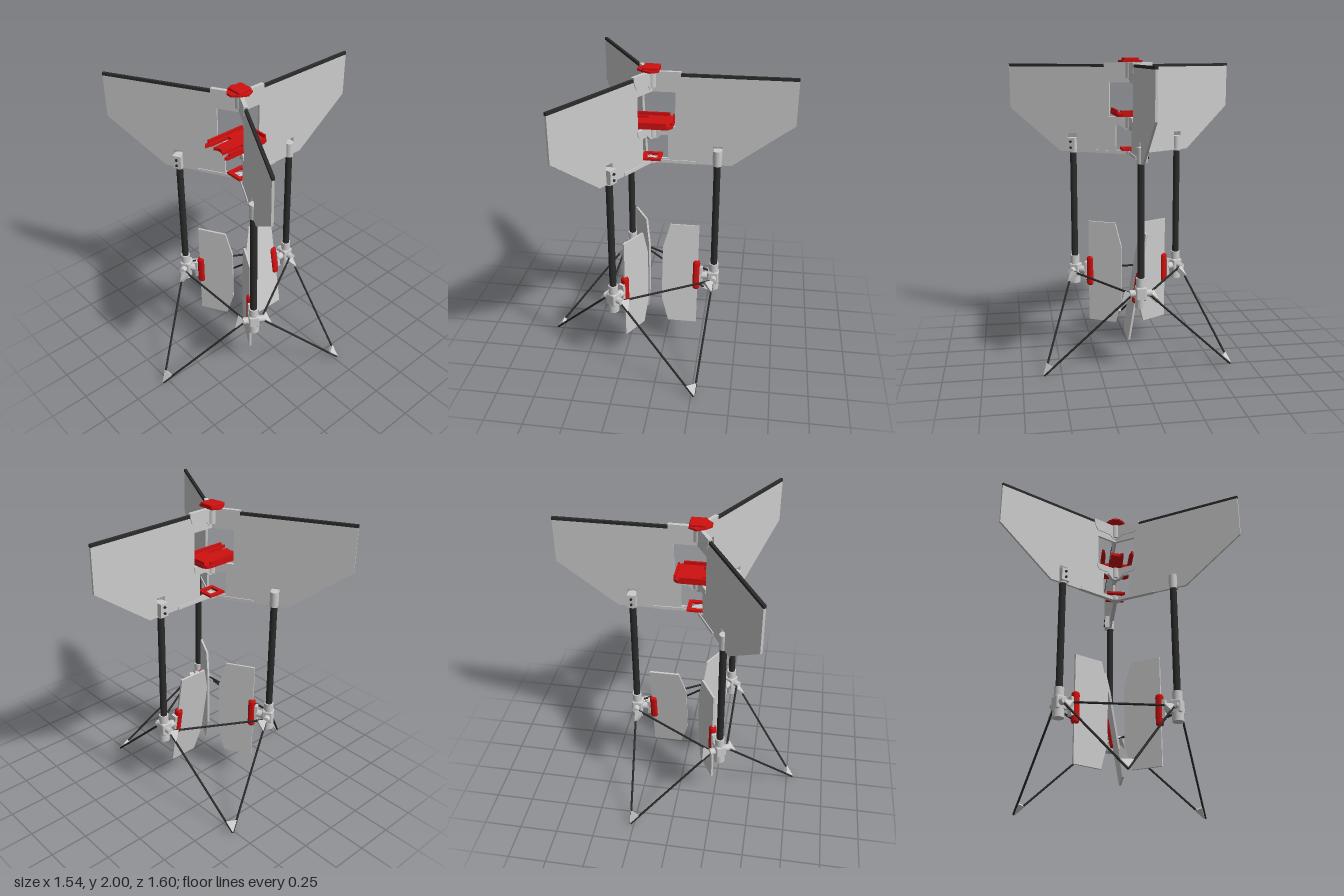
import * as THREE from 'three';
import { ConvexGeometry } from 'three/addons/geometries/ConvexGeometry.js';
import { RoundedBoxGeometry } from 'three/addons/geometries/RoundedBoxGeometry.js';

const grey = new THREE.MeshStandardMaterial({ color: 0xcccccc });
const red = new THREE.MeshStandardMaterial({ color: 0xd01010 });
const black = new THREE.MeshStandardMaterial({ color: 0x2b2b2b });
const UP = new THREE.Vector3(0, 1, 0);
const V = (x, y, z) => new THREE.Vector3(x, y, z);

function add(parent, name, geometry, material, x = 0, y = 0, z = 0) {
  const mesh = new THREE.Mesh(geometry, material);
  mesh.name = name;
  mesh.position.set(x, y, z);
  parent.add(mesh);
  return mesh;
}

const box = (w, h, d) => new THREE.BoxGeometry(w, h, d);
const cyl = (r, h) => new THREE.CylinderGeometry(r, r, h, 24);
const outline = (pts) => new THREE.Shape(pts.map(([x, y]) => new THREE.Vector2(x, y)));

// Upright plate in the x-y plane, centred on z = 0
function plate(shape, t) {
  const g = new THREE.ExtrudeGeometry(shape, { depth: t, bevelEnabled: false });
  return g.translate(0, 0, -t / 2);
}

// Level slab: outline given in x-z, thickness h upwards from y = 0
function slab(shape, h) {
  const g = new THREE.ExtrudeGeometry(shape, { depth: h, bevelEnabled: false });
  return g.rotateX(Math.PI / 2).translate(0, h, 0);
}

function rod(parent, name, a, b, r, material) {
  const d = b.clone().sub(a);
  const m = add(parent, name, new THREE.CylinderGeometry(r, r, d.length(), 10), material);
  m.position.copy(a).addScaledVector(d, 0.5);
  m.quaternion.setFromUnitVectors(UP, d.normalize());
}

// Triangular joint of thickness t
function gusset(parent, name, a, b, c, t) {
  const n = b.clone().sub(a).cross(c.clone().sub(a)).setLength(t / 2);
  const pts = [a, b, c].flatMap((p) => [p.clone().add(n), p.clone().sub(n)]);
  add(parent, name, new ConvexGeometry(pts), grey);
}

function makeFin() {
  const fin = new THREE.Group();
  fin.name = 'fin';
  const shape = outline([
    [0, 1.95], [0.883, 1.95], [0.883, 1.66], [0.502, 1.375], [0, 1.375], [0, 1.405], [0.1, 1.405],
    [0.1, 1.56], [0, 1.56], [0, 1.62], [0.145, 1.62], [0.145, 1.84], [0, 1.84],
  ]);
  shape.holes.push(outline([[0.383, 1.385], [0.383, 1.5], [0.443, 1.5], [0.443, 1.385]]));
  add(fin, 'finPanel', plate(shape, 0.014), grey);
  add(fin, 'leadingEdge', box(0.705, 0.018, 0.018), black, 0.531, 1.948);
  // Brackets joining the fin to the centre
  add(fin, 'topBracket', plate(outline([
    [0, 1.968], [0.18, 1.968], [0.18, 1.945], [0.165, 1.9], [0.15, 1.885], [0.05, 1.885], [0.03, 1.86], [0, 1.86],
  ]), 0.024), grey);
  add(fin, 'middleBracket', plate(outline([
    [0, 1.62], [0.15, 1.62], [0.15, 1.595], [0.135, 1.575], [0.07, 1.575], [0.03, 1.535], [0, 1.535],
  ]), 0.024), grey);
  add(fin, 'bottomBracket', box(0.28, 0.02, 0.026), grey, 0.14, 1.385);
  return fin;
}

function makeLeg() {
  const leg = new THREE.Group();
  leg.name = 'leg';
  add(leg, 'legTube', cyl(0.022, 0.88), black, 0.413, 0.95);
  // Clamp around the tube in the fin slot
  add(leg, 'clamp', cyl(0.028, 0.1), grey, 0.413, 1.42);
  add(leg, 'clampBlock', box(0.056, 0.09, 0.04), grey, 0.413, 1.425, -0.018);
  for (const y of [1.405, 1.445]) {
    add(leg, 'clampBolt', cyl(0.008, 0.012).rotateX(Math.PI / 2), black, 0.413, y, -0.04);
  }
  // Lower hub
  add(leg, 'hubCollar', cyl(0.031, 0.075), grey, 0.413, 0.613);
  add(leg, 'hubBody', new RoundedBoxGeometry(0.075, 0.09, 0.07, 2, 0.012), grey, 0.41, 0.55);
  add(leg, 'hubCap', cyl(0.036, 0.06), grey, 0.413, 0.487);
  add(leg, 'crossPin', cyl(0.022, 0.14).rotateX(Math.PI / 2), grey, 0.413, 0.55);
  return leg;
}

// Blade on a pivot at the hub, rolled about its radial axis
function makeBlade(roll) {
  const blade = new THREE.Group();
  blade.name = 'blade';
  blade.position.y = 0.55;
  blade.rotation.x = roll;
  add(blade, 'bladePanel', plate(outline([
    [0.305, 0.352], [0.11, 0.352], [0.063, 0.185], [0.063, -0.185], [0.11, -0.352], [0.305, -0.352],
  ]), 0.013), grey);
  add(blade, 'bladeHolder', new RoundedBoxGeometry(0.048, 0.208, 0.048, 3, 0.02), red, 0.296, 0);
  add(blade, 'holderBack', box(0.02, 0.12, 0.04), grey, 0.328, 0);
  add(blade, 'pivotShaft', cyl(0.025, 0.06).rotateZ(Math.PI / 2), grey, 0.36, 0);
  return blade;
}

export function createModel() {
  const model = new THREE.Group();
  model.name = 'threeFinFrame';
  model.position.z = 0.083;
  const root = new THREE.Group();
  root.name = 'frame';
  root.add(model);

  const at = (a, r, y, z = 0) => V(r, y, z).applyAxisAngle(UP, a);
  const step = (2 * Math.PI) / 3;
  for (let i = 0; i < 3; i++) {
    const a = Math.PI / 2 + i * step;
    const sector = new THREE.Group();
    sector.name = 'sector';
    sector.rotation.y = a;
    sector.add(makeFin(), makeLeg(), makeBlade(i === 0 ? -0.163 : 0));
    model.add(sector);

    // Brace rods and the foot between this leg and the next
    const p = at(a, 0.413, 0.545, -0.05);
    const q = at(a + step, 0.413, 0.545, 0.05);
    const foot = at(a + step / 2, 0.707, 0.012);
    rod(model, 'crossRod', p, q, 0.007, black);
    const toward = (from, to, d) => from.clone().add(to.clone().sub(from).setLength(d));
    for (const [s, o] of [[p, q], [q, p]]) {
      rod(model, 'footRod', s, foot, 0.007, black);
      gusset(model, 'hubJoint', s, toward(s, o, 0.065), toward(s, foot, 0.085), 0.03);
    }
    gusset(model, 'foot', foot, toward(foot, p, 0.085), toward(foot, q, 0.085), 0.022);
  }

  // Centre hubs
  add(model, 'topHub', cyl(0.03, 0.1), grey, 0, 1.92);
  add(model, 'middleHub', cyl(0.03, 0.075), grey, 0, 1.585);
  add(model, 'bottomHub', cyl(0.03, 0.025), grey, 0, 1.388);

  // Top cap
  add(model, 'topCapBase', slab(outline([
    [-0.055, -0.05], [0.055, -0.05], [0.08, 0], [0.055, 0.05], [0.02, 0.085], [-0.02, 0.085], [-0.055, 0.05], [-0.08, 0],
  ]), 0.012), red, 0, 1.972);
  add(model, 'topCap', new RoundedBoxGeometry(0.1, 0.022, 0.1, 2, 0.008), red, 0, 1.989);

  // Middle tray with three forward prongs
  const half = [[0.07, -0.138], [0.095, -0.125], [0.105, -0.1], [0.105, 0.185], [0.09, 0.2], [0.078, 0.15],
    [0.078, 0.03], [0.045, 0.03], [0.04, 0.175], [0.015, 0.16]];
  const mirrored = half.map(([x, z]) => [-x, z]).reverse();
  add(model, 'trayPlate', slab(outline([...half, ...mirrored]), 0.02), red, 0, 1.63);
  add(model, 'trayBackRim', box(0.16, 0.025, 0.012), red, 0, 1.658, -0.128);
  for (const s of [-1, 1]) add(model, 'traySideRim', box(0.012, 0.025, 0.27), red, s * 0.098, 1.658, 0.035);

  // Bottom square ring
  const ring = outline([[-0.06, -0.06], [0.06, -0.06], [0.06, 0.06], [-0.06, 0.06]]);
  ring.holes.push(outline([[-0.035, -0.035], [-0.035, 0.035], [0.035, 0.035], [0.035, -0.035]]));
  add(model, 'bottomRing', slab(ring, 0.014), red, 0, 1.404);
  return root;
}
